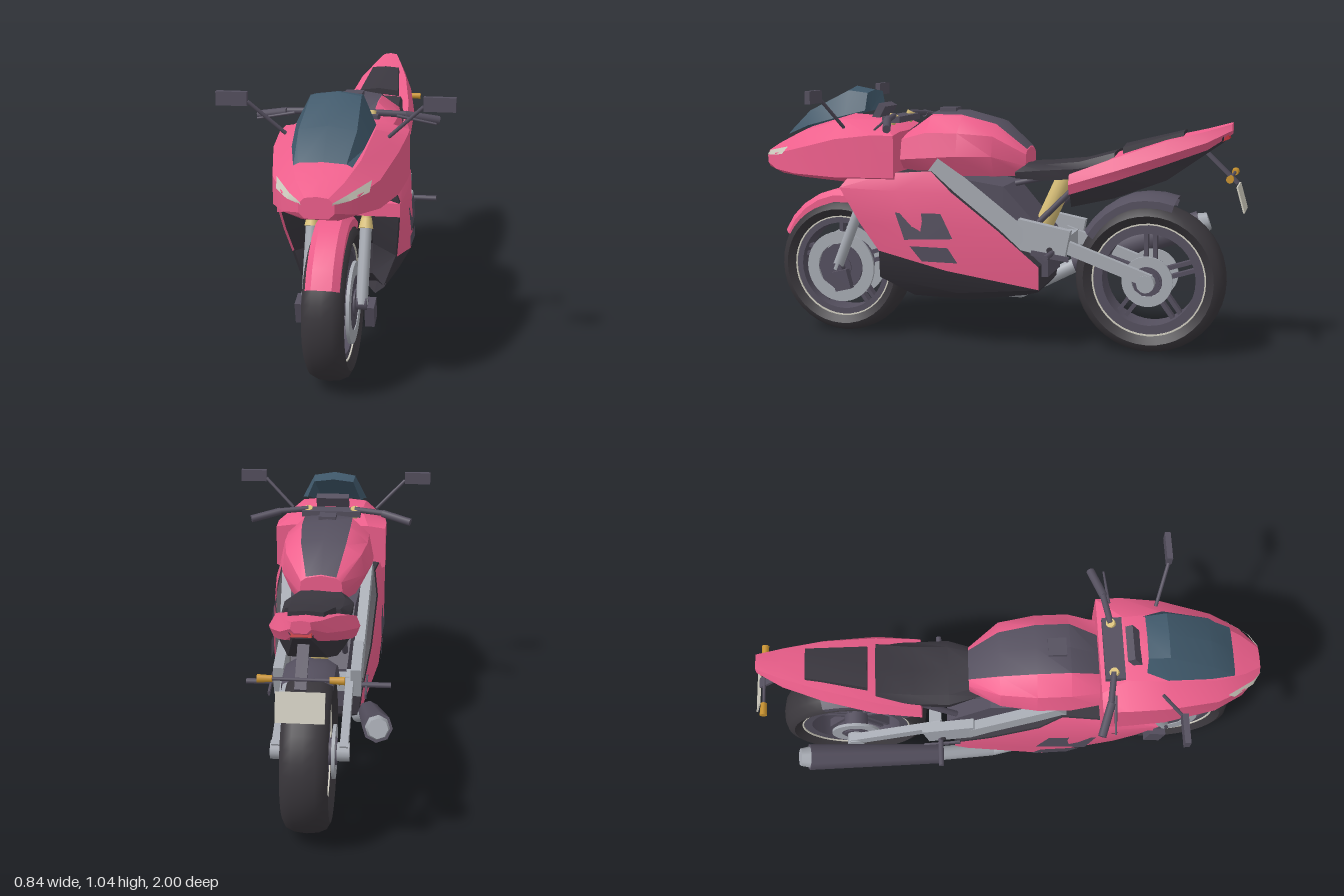
import * as THREE from 'three';
import { toCreasedNormals } from 'three/addons/utils/BufferGeometryUtils.js';

const mat = (color) => new THREE.MeshStandardMaterial({ color, side: THREE.DoubleSide });
const PINK = mat(0xee5f8c), DARK = mat(0x3a373f), STEEL = mat(0x544f5e), RUBBER = mat(0x39363b),
  SILVER = mat(0xa6aab2), GOLD = mat(0xd8bf78), GLASS = mat(0x3f586a), PALE = mat(0xcfccbf),
  AMBER = mat(0xc8922e), RED = mat(0xc03038);
const V = (p) => new THREE.Vector3(...p);

export function createModel() {
  const model = new THREE.Group();
  model.name = 'motorcycle';

  const add = (name, geometry, material, pos = [0, 0, 0], parent = model) => {
    const mesh = new THREE.Mesh(geometry, material);
    mesh.name = name;
    mesh.position.set(...pos);
    parent.add(mesh);
    return mesh;
  };
  const box = (name, m, size, pos) => add(name, new THREE.BoxGeometry(...size), m, pos);

  // Round bar between two points
  const rod = (name, m, a, b, r0, r1 = r0, sides = 12) => {
    const p = V(a), q = V(b), d = q.clone().sub(p);
    const mesh = add(name, new THREE.CylinderGeometry(r1, r0, d.length(), sides), m, p.clone().add(q).multiplyScalar(0.5).toArray());
    mesh.quaternion.setFromUnitVectors(new THREE.Vector3(0, 1, 0), d.normalize());
    return mesh;
  };
  // Rectangular bar between two points
  const beam = (name, m, a, b, w, h) => {
    const p = V(a), q = V(b);
    const mesh = box(name, m, [w, h, p.distanceTo(q)], p.clone().add(q).multiplyScalar(0.5).toArray());
    mesh.lookAt(q);
    return mesh;
  };

  // Skin over rings of [x, y, z]; a closed skin gets end caps
  const skin = (name, m, rings, closed = true, crease = 0.6) => {
    const pos = [], n = rings[0].length, last = rings.length - 1;
    const tri = (...t) => t.forEach((p) => pos.push(...p));
    for (let i = 0; i < last; i++) {
      for (let j = 0; j < (closed ? n : n - 1); j++) {
        const k = (j + 1) % n, a = rings[i][j], b = rings[i][k], c = rings[i + 1][j], d = rings[i + 1][k];
        tri(a, c, b);
        tri(b, c, d);
      }
    }
    if (closed) for (const [ring, flip] of [[rings[0], false], [rings[last], true]]) {
      const mid = [0, 1, 2].map((k) => ring.reduce((s, p) => s + p[k], 0) / n);
      ring.forEach((p, j) => flip ? tri(mid, ring[(j + 1) % n], p) : tri(mid, p, ring[(j + 1) % n]));
    }
    const g = new THREE.BufferGeometry();
    g.setAttribute('position', new THREE.Float32BufferAttribute(pos, 3));
    return add(name, toCreasedNormals(g, crease), m);
  };
  // Mirror a half ring across x = 0
  const mirror = (half) => [...half, ...half.filter((p) => p[0] > 0).reverse().map(([x, y, z]) => [-x, y, z])];
  // Symmetric section at a given z, listed bottom to top
  const sec = (z, ...pts) => mirror(pts.map(([x, y]) => [x, y, z]));

  // Wheels
  const ringGeo = (pts, seg = 40) =>
    toCreasedNormals(new THREE.LatheGeometry(pts.map((p) => new THREE.Vector2(...p)), seg).rotateZ(Math.PI / 2), 0.7);
  const band = (r0, r1, h) => ringGeo([[r0, -h], [r1, -h], [r1, h], [r0, h], [r0, -h]]);
  const wheel = (name, z, R, w, discIn, discOut, discX) => {
    const g = new THREE.Group();
    g.name = name;
    g.position.set(0, R, z);
    model.add(g);
    add('tyre', ringGeo([[R * 0.74, -w * 0.7], [R * 0.86, -w], [R * 0.94, -w * 0.85], [R * 0.985, -w * 0.5], [R, 0],
      [R * 0.985, w * 0.5], [R * 0.94, w * 0.85], [R * 0.86, w], [R * 0.74, w * 0.7], [R * 0.74, -w * 0.7]]), RUBBER, [0, 0, 0], g);
    add('rim', band(0.185, R * 0.75, w * 0.68), STEEL, [0, 0, 0], g);
    add('hub', new THREE.CylinderGeometry(0.05, 0.05, discX * 2 + 0.02, 16).rotateZ(Math.PI / 2), STEEL, [0, 0, 0], g);
    for (let i = 0; i < 5; i++) for (const s of [-1, 1]) {
      const spoke = new THREE.BoxGeometry(0.035, 0.16, 0.016).translate(0, 0.12, s * 0.018);
      add('spoke', spoke.rotateX(i * Math.PI * 0.4), STEEL, [0, 0, 0], g);
    }
    for (const s of [-1, 1]) {
      add('brakeDisc', band(discIn, discOut, 0.006), SILVER, [s * discX, 0, 0], g);
      add('discCarrier', new THREE.CylinderGeometry(discIn, discIn, 0.008, 10).rotateZ(Math.PI / 2), STEEL, [s * discX, 0, 0], g);
      add('rimStripe', band(R * 0.735, R * 0.755, 0.003), PALE, [s * w * 0.71, 0, 0], g);
    }
  };
  wheel('frontWheel', 0.67, 0.285, 0.075, 0.1, 0.15, 0.07);
  wheel('rearWheel', -0.634, 0.3, 0.085, 0.06, 0.1, 0.09);

  // Mudguards, swept round each wheel centre
  const arch = (name, m, z, y, a0, a1, r0, r1, w) => {
    const rings = [];
    for (let i = 0; i <= 7; i++) {
      const t = i / 7, a = THREE.MathUtils.degToRad(a0 + (a1 - a0) * t), r = r0 + (r1 - r0) * Math.min(1, t * 1.8);
      rings.push(mirror([[w, -0.05], [w, -0.022], [w * 0.6, 0], [0, 0.002]].map(([x, d]) =>
        [x, y + Math.sin(a) * (r + d), z + Math.cos(a) * (r + d)])));
    }
    skin(name, m, rings, false);
  };
  arch('frontMudguard', PINK, 0.67, 0.285, 28, 125, 0.3, 0.325, 0.06);
  arch('rearMudguard', STEEL, -0.634, 0.3, 36, 108, 0.32, 0.342, 0.092);

  // Nose fairing
  skin('noseFairing', PINK, [
    sec(1.0, [0, 0.7], [0.04, 0.7], [0.06, 0.72], [0.06, 0.75], [0.04, 0.77], [0, 0.775]),
    sec(0.93, [0, 0.675], [0.06, 0.675], [0.13, 0.7], [0.13, 0.765], [0.08, 0.805], [0, 0.815]),
    sec(0.82, [0, 0.665], [0.09, 0.665], [0.185, 0.69], [0.185, 0.79], [0.12, 0.855], [0, 0.87]),
    sec(0.62, [0, 0.655], [0.12, 0.655], [0.225, 0.685], [0.225, 0.84], [0.14, 0.915], [0, 0.93]),
    sec(0.46, [0, 0.65], [0.13, 0.65], [0.236, 0.69], [0.236, 0.86], [0.13, 0.915], [0, 0.92]),
    sec(0.365, [0, 0.65], [0.13, 0.65], [0.236, 0.69], [0.234, 0.86], [0.16, 0.87], [0, 0.87])], true, 0.45);
  skin('windscreen', GLASS, [
    sec(0.88, [0.1, 0.845], [0.08, 0.855], [0, 0.86]),
    sec(0.78, [0.125, 0.885], [0.1, 0.945], [0, 0.96]),
    sec(0.61, [0.142, 0.93], [0.09, 1.03], [0, 1.045]),
    sec(0.53, [0.115, 0.95], [0.085, 1.02], [0, 1.03])], false, 0.4);
  box('dashboard', STEEL, [0.14, 0.07, 0.03], [0, 0.94, 0.49]).rotation.x = -0.5;

  // Tank with a dark top strip
  const tank = [
    [0.36, [0, 0.72], [0.13, 0.72], [0.17, 0.76], [0.15, 0.84], [0.08, 0.86], [0, 0.87]],
    [0.25, [0, 0.71], [0.15, 0.71], [0.19, 0.77], [0.17, 0.87], [0.1, 0.935], [0, 0.945]],
    [0.12, [0, 0.7], [0.15, 0.7], [0.19, 0.78], [0.17, 0.87], [0.1, 0.935], [0, 0.95]],
    [-0.02, [0, 0.69], [0.13, 0.7], [0.165, 0.78], [0.15, 0.86], [0.09, 0.9], [0, 0.915]],
    [-0.14, [0, 0.69], [0.07, 0.7], [0.085, 0.74], [0.08, 0.785], [0.06, 0.8], [0, 0.81]]];
  skin('tank', PINK, tank.map(([z, ...p]) => sec(z, ...p)));
  skin('tankStrip', STEEL, tank.map(([z, ...p]) => sec(z, ...p.slice(-2).map(([x, y]) => [x, y + 0.005]))), false);
  box('fuelCap', STEEL, [0.07, 0.02, 0.07], [0, 0.953, 0.2]);

  // Seat and tail
  skin('seat', DARK, [
    sec(-0.1, [0, 0.69], [0.09, 0.69], [0.1, 0.715], [0.07, 0.745], [0, 0.75]),
    sec(-0.22, [0, 0.69], [0.13, 0.69], [0.135, 0.73], [0.1, 0.75], [0, 0.745]),
    sec(-0.36, [0, 0.7], [0.125, 0.7], [0.13, 0.74], [0.1, 0.765], [0, 0.765]),
    sec(-0.5, [0, 0.72], [0.11, 0.72], [0.118, 0.77], [0.1, 0.805], [0, 0.81])]);
  skin('tailFairing', PINK, [
    sec(-0.33, [0, 0.64], [0.15, 0.64], [0.165, 0.68], [0.15, 0.72], [0, 0.72]),
    sec(-0.5, [0, 0.69], [0.145, 0.695], [0.162, 0.735], [0.135, 0.785], [0, 0.8]),
    sec(-0.7, [0, 0.765], [0.105, 0.765], [0.125, 0.8], [0.1, 0.855], [0, 0.865]),
    sec(-0.85, [0, 0.82], [0.06, 0.82], [0.08, 0.85], [0.06, 0.893], [0, 0.9]),
    sec(-0.94, [0, 0.88], [0.02, 0.88], [0.035, 0.895], [0.03, 0.92], [0, 0.925])]);
  skin('tailUnderside', DARK, [
    sec(-0.33, [0, 0.585], [0.1, 0.585], [0.145, 0.66], [0, 0.67]),
    sec(-0.5, [0, 0.62], [0.09, 0.625], [0.138, 0.71], [0, 0.72]),
    sec(-0.7, [0, 0.7], [0.07, 0.7], [0.1, 0.78], [0, 0.79]),
    sec(-0.91, [0, 0.85], [0.03, 0.85], [0.045, 0.875], [0, 0.88])]);
  skin('passengerPad', DARK, [
    sec(-0.53, [0, 0.79], [0.09, 0.79], [0.085, 0.825], [0, 0.835]),
    sec(-0.76, [0, 0.86], [0.065, 0.86], [0.06, 0.888], [0, 0.893])]);
  box('tailLight', RED, [0.07, 0.018, 0.05], [0, 0.862, -0.905]).rotation.x = 0.4;
  beam('plateBracket', STEEL, [0, 0.81, -0.84], [0, 0.69, -0.965], 0.04, 0.012);
  beam('numberPlate', PALE, [0, 0.685, -0.968], [0, 0.585, -0.997], 0.166, 0.006);
  rod('indicatorBar', STEEL, [-0.11, 0.72, -0.945], [0.11, 0.72, -0.945], 0.006);

  // Lower fairing: dark core, pink upper panels, dark belly panels; rows run front to rear
  const rows = [
    [[0.2, 0.7, 0.56], [0.215, 0.71, 0.38], [0.2, 0.72, 0.22]],
    [[0.23, 0.645, 0.6], [0.236, 0.64, 0.36], [0.215, 0.64, 0.13]],
    [[0.215, 0.5, 0.52], [0.238, 0.5, 0.27], [0.2, 0.49, -0.06]],
    [[0.2, 0.39, 0.447], [0.23, 0.4, 0.18], [0.17, 0.35, -0.215]],
    [[0.2, 0.388, 0.445], [0.222, 0.325, 0.15], [0.16, 0.255, -0.215]],
    [[0.155, 0.27, 0.46], [0.17, 0.225, 0.12], [0.11, 0.235, -0.2]],
    [[0.1, 0.19, 0.33], [0.08, 0.18, 0.1], [0.06, 0.21, -0.14]]];
  skin('fairingCore', DARK, rows.map((r) => mirror([
    [0.09, r[0][1], r[0][2] - 0.14], ...r.map(([x, y, z], i) => [x * 0.97, y, z - (i ? 0 : 0.01)])])));
  for (const s of [1, -1]) {
    const side = (list) => list.map((r) => r.map(([x, y, z]) => [s * x, y, z]));
    skin('sidePanel', PINK, side(rows.slice(0, 5)), false);
    skin('bellyPanel', DARK, side(rows.slice(4)), false);
    skin('upperVent', STEEL, side([
      [[0.234, 0.553, 0.36], [0.231, 0.556, 0.17]], [[0.24, 0.446, 0.32], [0.233, 0.457, 0.12]]]), false);
    skin('lowerVent', STEEL, side([
      [[0.234, 0.42, 0.3], [0.236, 0.42, 0.14]], [[0.23, 0.36, 0.25], [0.232, 0.36, 0.1]]]), false);
    skin('headlight', PALE, side([
      [[0.052, 0.748, 1.003], [0.105, 0.756, 0.968], [0.158, 0.765, 0.888]],
      [[0.054, 0.756, 1.003], [0.095, 0.775, 0.968], [0.162, 0.799, 0.856]]]), false);

    // Front fork and controls
    rod('forkLeg', SILVER, [s * 0.1, 0.28, 0.676], [s * 0.1, 0.54, 0.57], 0.022);
    rod('forkSeal', GOLD, [s * 0.1, 0.535, 0.572], [s * 0.1, 0.57, 0.557], 0.027, 0.02);
    rod('forkTube', GOLD, [s * 0.1, 0.57, 0.557], [s * 0.1, 0.935, 0.408], 0.018);
    beam('brakeCaliper', STEEL, [s * 0.128, 0.2, 0.63], [s * 0.128, 0.28, 0.65], 0.035, 0.07);
    rod('handlebar', STEEL, [s * 0.1, 0.93, 0.41], [s * 0.22, 0.922, 0.39], 0.012);
    rod('grip', STEEL, [s * 0.22, 0.92, 0.392], [s * 0.34, 0.895, 0.35], 0.016);
    rod('lever', STEEL, [s * 0.19, 0.92, 0.41], [s * 0.335, 0.892, 0.402], 0.006, 0.004);
    rod('mirrorStem', STEEL, [s * 0.185, 0.885, 0.595], [s * 0.31, 1.005, 0.64], 0.007);
    box('mirror', STEEL, [0.112, 0.05, 0.022], [s * 0.366, 1.016, 0.642]);

    // Frame, swingarm and footpegs
    beam('frameSpar', SILVER, [s * 0.17, 0.74, 0.22], [s * 0.15, 0.45, -0.15], 0.04, 0.08);
    beam('pivotPlate', SILVER, [s * 0.15, 0.48, -0.12], [s * 0.15, 0.44, -0.33], 0.04, 0.12);
    rod('pivotBolt', DARK, [s * 0.165, 0.42, -0.26], [s * 0.176, 0.42, -0.26], 0.012);
    beam('swingarm', SILVER, [s * 0.125, 0.45, -0.26], [s * 0.125, 0.31, -0.65], 0.03, 0.05);
    rod('axleCap', SILVER, [s * 0.1, 0.3, -0.634], [s * 0.145, 0.3, -0.634], 0.035);
    rod('footpeg', STEEL, [s * 0.17, 0.41, -0.27], [s * 0.285, 0.41, -0.27], 0.011);
    beam('footLever', STEEL, [s * 0.188, 0.41, -0.19], [s * 0.188, 0.39, -0.34], 0.008, 0.02);
    rod('subframeRail', STEEL, [s * 0.08, 0.67, -0.1], [s * 0.1, 0.74, -0.4], 0.012);
    rod('subframeStay', STEEL, [s * 0.1, 0.52, -0.2], [s * 0.1, 0.7, -0.38], 0.012);
    rod('indicator', AMBER, [s * 0.095, 0.72, -0.945], [s * 0.145, 0.72, -0.945], 0.012, 0.015, 8);
  }
  box('fairingLip', PINK, [0.45, 0.05, 0.03], [0, 0.612, 0.57]);
  box('topClamp', STEEL, [0.25, 0.025, 0.075], [0, 0.915, 0.415]);
  rod('frontAxle', STEEL, [-0.12, 0.285, 0.67], [0.12, 0.285, 0.67], 0.025, 0.025, 6);
  skin('engine', STEEL, [
    sec(0.2, [0, 0.3], [0.15, 0.3], [0.15, 0.7], [0, 0.7]),
    sec(-0.06, [0, 0.3], [0.13, 0.3], [0.13, 0.66], [0, 0.66]),
    sec(-0.24, [0, 0.3], [0.11, 0.3], [0.11, 0.46], [0, 0.46])]);
  rod('shockAbsorber', GOLD, [0, 0.48, -0.19], [0, 0.7, -0.29], 0.038);
  box('swingarmBridge', SILVER, [0.25, 0.06, 0.05], [0, 0.43, -0.29]);

  // Exhaust on the right-hand side
  const pipe = [[-0.08, 0.2, 0.32], [-0.15, 0.178, -0.06], [-0.2, 0.3, -0.3]];
  rod('exhaustPipe', SILVER, pipe[0], pipe[1], 0.03);
  rod('exhaustPipe', SILVER, pipe[1], pipe[2], 0.03);
  add('exhaustElbow', new THREE.SphereGeometry(0.03, 12, 8), SILVER, pipe[1]);
  rod('silencer', STEEL, [-0.2, 0.3, -0.28], [-0.25, 0.485, -0.8], 0.042, 0.054, 8);
  rod('silencerTip', SILVER, [-0.25, 0.485, -0.8], [-0.253, 0.497, -0.835], 0.044, 0.036, 8);
  return model;
}
